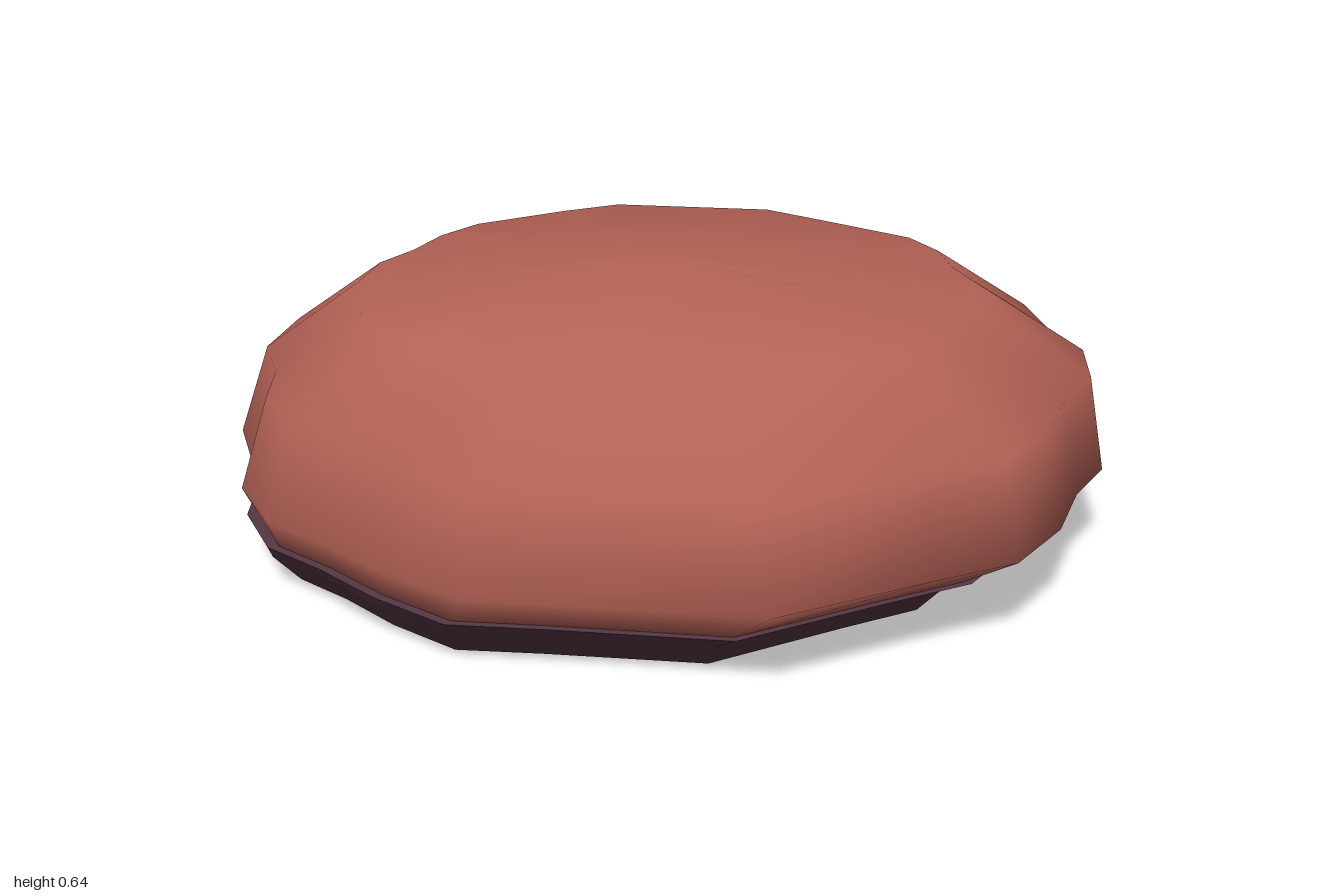
import * as THREE from 'three';

// Irregular outline [x, z], walked from the left side (+x) round past the front (+z)
const OUTLINE = [
  [0.96, 0.0], [0.97, 0.2], [0.93, 0.4], [0.8, 0.55], [0.57, 0.83], [0.2, 0.93],
  [0.0, 0.99], [-0.2, 0.94], [-0.38, 0.87], [-0.55, 0.82], [-0.7, 0.69], [-0.78, 0.54],
  [-0.91, 0.39], [-0.97, 0.17], [-0.95, 0.0], [-0.96, -0.2], [-0.92, -0.38], [-0.72, -0.66],
  [-0.58, -0.82], [-0.04, -0.96], [0.25, -0.88], [0.56, -0.79], [0.7, -0.67], [0.8, -0.5],
  [0.92, -0.36], [0.98, -0.17],
];
const N = OUTLINE.length;
const CX = 0.005, CZ = 0.02, RX = 0.977, RZ = 0.975;

// One ring of the outline, fitted to a centre and half-widths
function ring({ y, cx, rx, cz, rz }) {
  return OUTLINE.flatMap(([x, z]) => [cx + ((x - CX) / RX) * rx, y, cz + ((z - CZ) / RZ) * rz]);
}

// Skin stacked rings with smooth normals; optionally close the top
function loft(levels, closeTop = false) {
  const positions = levels.flatMap(ring);
  const index = [];
  for (let l = 0; l < levels.length - 1; l++) {
    for (let i = 0; i < N; i++) {
      const j = (i + 1) % N;
      const a = l * N + i, b = l * N + j;
      index.push(a, a + N, b, b, a + N, b + N);
    }
  }
  if (closeTop) {
    const top = levels[levels.length - 1];
    const base = (levels.length - 1) * N;
    positions.push(top.cx, top.y, top.cz);
    for (let i = 0; i < N; i++) index.push(levels.length * N, base + ((i + 1) % N), base + i);
  }
  return finish(positions, index);
}

// Flat downward-facing disc with the same outline
function underside(level) {
  const positions = [...ring(level), level.cx, level.y, level.cz];
  const index = [];
  for (let i = 0; i < N; i++) index.push(N, i, (i + 1) % N);
  return finish(positions, index);
}

function finish(positions, index) {
  const g = new THREE.BufferGeometry();
  g.setAttribute('position', new THREE.Float32BufferAttribute(positions, 3));
  g.setIndex(index);
  g.computeVertexNormals();
  return g;
}

export function createModel() {
  const group = new THREE.Group();
  group.name = 'lumpyMound';
  const clay = new THREE.MeshStandardMaterial({ name: 'clay red', color: 0xb66357 });
  const dark = new THREE.MeshStandardMaterial({ name: 'dark plum', color: 0x563844, side: THREE.DoubleSide });

  const add = (name, geometry, material) => {
    const mesh = new THREE.Mesh(geometry, material);
    mesh.name = name;
    group.add(mesh);
  };

  // Rounded body, bulging over the base and almost flat on top
  const foot = { y: 0, cx: -0.085, rx: 0.81, cz: -0.04, rz: 0.87 };
  add('body', loft([
    foot,
    { y: 0.03, cx: -0.085, rx: 0.83, cz: -0.04, rz: 0.89 },
    { y: 0.105, cx: -0.05, rx: 0.91, cz: -0.015, rz: 0.945 },
    { y: 0.19, cx: 0.005, rx: 0.98, cz: 0.025, rz: 0.972 },
    { y: 0.41, cx: 0.035, rx: 0.915, cz: 0.045, rz: 0.935 },
    { y: 0.577, cx: 0.035, rx: 0.675, cz: 0.085, rz: 0.715 },
    { y: 0.637, cx: 0.015, rx: 0.105, cz: 0.12, rz: 0.12 },
  ], true), clay);
  add('underside', underside(foot), clay);

  // Dark band round the base, set slightly off centre, with a thin upper lip
  add('baseBand', loft([
    { y: 0.003, cx: -0.085, rx: 0.835, cz: -0.04, rz: 0.9 },
    { y: 0.07, cx: -0.085, rx: 0.895, cz: -0.04, rz: 0.96 },
    { y: 0.105, cx: -0.055, rx: 0.935, cz: -0.025, rz: 0.975 },
  ]), dark);
  const lip = { y: 0.105, cx: -0.055, cz: -0.025 };
  add('baseLip', loft([
    { ...lip, rx: 0.935, rz: 0.975 },
    { ...lip, rx: 0.88, rz: 0.92 },
  ]), dark);

  return group;
}
